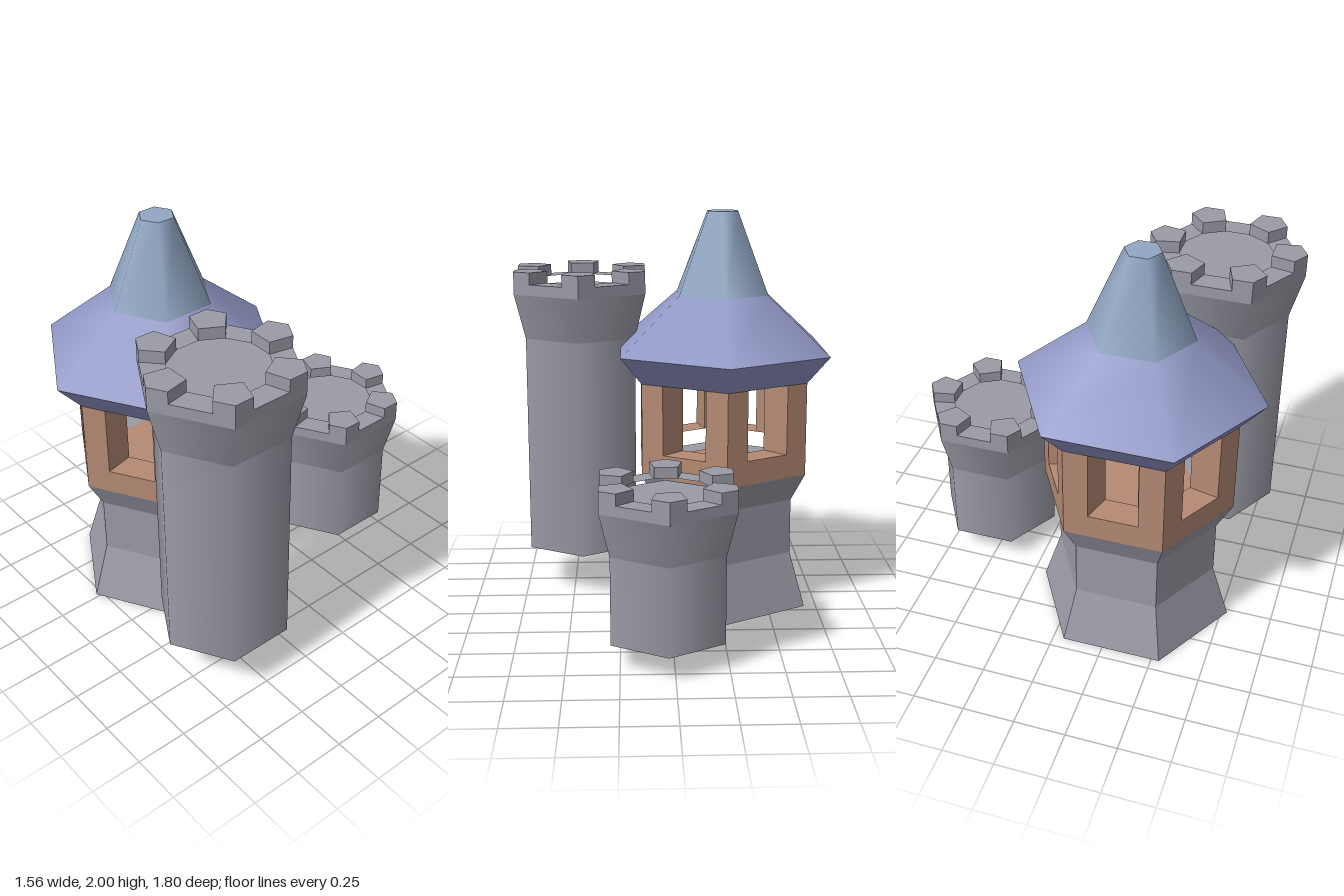
import * as THREE from 'three';

const mat = (color, flatShading = false) => new THREE.MeshStandardMaterial({ color, flatShading });
const stone = mat(0x9a9ba6);
const stoneFlat = mat(0x9a9ba6, true);
const wood = mat(0xb58a74, true);
const tile = mat(0x9198c6);
const spireMat = mat(0x91a7c4);

// Point on a regular polygon, angle in degrees from the +y axis of the shape
const polar = (r, deg) => {
  const a = THREE.MathUtils.degToRad(deg);
  return new THREE.Vector2(Math.sin(a) * r, Math.cos(a) * r);
};
const ring = (r, n, offset = 0) =>
  Array.from({ length: n }, (_, i) => polar(r, offset + (i * 360) / n));

function add(parent, name, geometry, material) {
  const mesh = new THREE.Mesh(geometry, material);
  mesh.name = name;
  parent.add(mesh);
  return mesh;
}

// Six-sided band between two heights, a corner pointing to +z
function band(parent, name, y0, r0, y1, r1, material, open = false) {
  const g = new THREE.CylinderGeometry(r1, r0, y1 - y0, 6, 1, open);
  g.translate(0, (y0 + y1) / 2, 0);
  return add(parent, name, g, material);
}

// Upright prism from a plan outline, with an optional hole
function prism(points, y0, y1, hole) {
  const shape = new THREE.Shape(points);
  if (hole) shape.holes.push(new THREE.Path(hole));
  const g = new THREE.ExtrudeGeometry(shape, { depth: y1 - y0, bevelEnabled: false });
  g.rotateX(-Math.PI / 2);
  g.translate(0, y0, 0);
  return g;
}

// Outline points around one hexagon corner, reaching a quarter along both edges
function corner(r) {
  const v = polar(r, 0);
  return [v.clone().lerp(polar(r, -60), 0.25), v, v.clone().lerp(polar(r, 60), 0.25)];
}

// Repeat a prism at all six corners
function atCorners(parent, name, geometry, material) {
  for (let i = 0; i < 6; i++) {
    add(parent, name + (i + 1), geometry, material).rotation.y = (i * Math.PI) / 3;
  }
}

function battlementTower(name, x, z, o) {
  const t = new THREE.Group();
  t.name = name;
  t.position.set(x, 0, z);
  band(t, 'shaft', o.bottom, o.r, o.neck, o.r, stone);
  band(t, 'flare', o.neck, o.r, o.floor, o.R, stone);
  // parapet with a twelve-sided well, merlons on its corners
  add(t, 'parapet', prism(ring(o.R, 6), o.floor, o.notch, ring(o.well, 12, 15)), stoneFlat);
  const merlon = prism([...corner(o.R), polar(o.well, 15), polar(o.well, -15)], o.notch, o.top);
  atCorners(t, 'merlon', merlon, stoneFlat);
  return t;
}

function mainTower() {
  const t = new THREE.Group();
  t.name = 'mainTower';
  t.position.set(-0.27, 0, 0.295);
  const R = 0.473, inner = 0.66;

  // stone foot
  band(t, 'baseSkirt', 0, 0.485, 0.28, 0.398, stoneFlat);
  band(t, 'baseWall', 0.28, 0.398, 0.56, 0.398, stoneFlat, true);
  band(t, 'baseCorbel', 0.56, 0.398, 0.7, R, stoneFlat);

  // wooden lookout: sill ring and corner posts
  add(t, 'windowSill', prism(ring(R, 6), 0.7, 0.82, ring(R * inner, 6)), wood);
  add(t, 'lookoutFloor', new THREE.CircleGeometry(R * inner, 6)
    .rotateZ(Math.PI / 2).rotateX(-Math.PI / 2).translate(0, 0.703, 0), wood);
  const outer = corner(R);
  const back = outer.map((p) => p.clone().multiplyScalar(inner)).reverse();
  atCorners(t, 'post', prism([...outer, ...back], 0.82, 1.17), wood);

  // roof
  band(t, 'eaves', 1.17, R, 1.31, 0.593, tile);
  band(t, 'roof', 1.31, 0.593, 1.59, 0.256, tile, true);
  band(t, 'spire', 1.59, 0.256, 2, 0.085, spireMat);
  return t;
}

export function createModel() {
  const model = new THREE.Group();
  model.name = 'castle';
  model.add(
    mainTower(),
    battlementTower('tallTower', 0.448, 0.517, {
      bottom: 0.23, neck: 1.35, floor: 1.58, notch: 1.635, top: 1.695, r: 0.322, R: 0.383, well: 0.23,
    }),
    battlementTower('shortTower', 0.031, -0.547, {
      bottom: 0.12, neck: 0.54, floor: 0.75, notch: 0.8, top: 0.855, r: 0.302, R: 0.357, well: 0.215,
    }),
  );
  return model;
}
